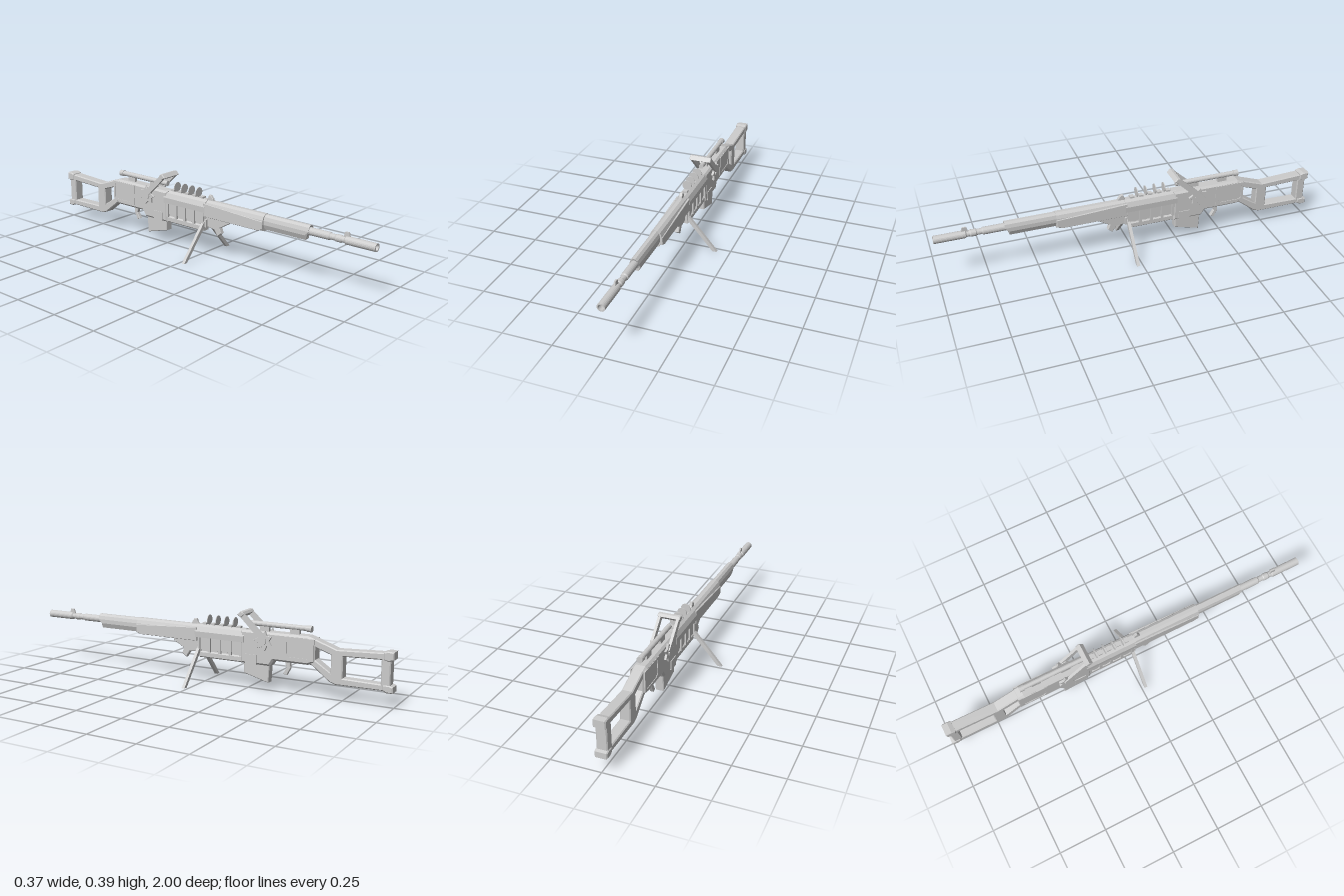
import * as THREE from 'three';

export function createModel() {
  const root = new THREE.Group();
  const mat = new THREE.MeshStandardMaterial({ color: 0xcccccc, flatShading: true });
  const smooth = new THREE.MeshStandardMaterial({ color: 0xcccccc });

  const add = (name, geo, x = 0, y = 0, z = 0, m = mat) => {
    const mesh = new THREE.Mesh(geo, m);
    mesh.name = name;
    mesh.position.set(x, y, z);
    root.add(mesh);
    return mesh;
  };
  const box = (name, w, h, d, x, y, z) => add(name, new THREE.BoxGeometry(w, h, d), x, y, z);
  const vecs = (pts) => pts.map(([a, b]) => new THREE.Vector2(a, b));

  // Side profile given as [z, y], extruded across x with bevelled edges
  const slab = (name, pts, half, bevel = 0, x = 0, holes = []) => {
    const shape = new THREE.Shape(vecs(pts));
    holes.forEach((h) => shape.holes.push(new THREE.Path(vecs(h))));
    const depth = 2 * (half - bevel);
    const geo = new THREE.ExtrudeGeometry(shape, {
      depth, bevelEnabled: bevel > 0, bevelSize: bevel, bevelThickness: bevel,
      bevelOffset: -bevel, bevelSegments: 1, curveSegments: 6,
    });
    geo.translate(0, 0, -depth / 2).rotateY(-Math.PI / 2);
    return add(name, geo, x);
  };

  // Cross-section given as [x, y], extruded along z from z0 to z1
  const section = (name, pts, z0, z1) => {
    const geo = new THREE.ExtrudeGeometry(new THREE.Shape(vecs(pts)), { depth: z1 - z0, bevelEnabled: false });
    return add(name, geo, 0, 0, z0);
  };

  // Barrel with a hollow muzzle, profile as [radius, z]
  const barrel = new THREE.LatheGeometry(vecs([
    [0.016, 0.3], [0.019, 0.64], [0.019, 0.76], [0.015, 0.765], [0.015, 0.79], [0.018, 0.795],
    [0.018, 0.82], [0.015, 0.825], [0.015, 0.84], [0.02, 0.845], [0.02, 1], [0.014, 1], [0.014, 0.93], [0, 0.93],
  ]), 20);
  barrel.rotateX(Math.PI / 2);
  add('barrel', barrel, 0, 0.266, 0);
  slab('frontSight', [[0.865, 0.28], [0.83, 0.28], [0.838, 0.305], [0.858, 0.305]], 0.004);

  // Handguard: rounded top, chamfered underside, wider step behind
  const guard = (w, top, bottom) => [
    [-w * 0.55, bottom], [w * 0.55, bottom], [w, bottom + 0.025], [w, top - 0.028],
    [w * 0.75, top - 0.01], [w * 0.3, top], [-w * 0.3, top], [-w * 0.75, top - 0.01],
    [-w, top - 0.028], [-w, bottom + 0.025],
  ];
  const front = section('frontHandguard', guard(0.023, 0.296, 0.222), 0.38, 0.655);
  // Slope the lower half of the front end backwards
  const fp = front.geometry.attributes.position;
  for (let i = 0; i < fp.count; i++) {
    if (fp.getZ(i) > 0.2 && fp.getY(i) < 0.25) fp.setZ(i, 0.255);
  }
  front.geometry.computeVertexNormals();
  section('rearHandguard', guard(0.03, 0.298, 0.213), 0.03, 0.4);
  for (const s of [-1, 1]) {
    slab('handguardPanel', [[0.4, 0.225], [0.4, 0.265], [0.16, 0.278], [0.03, 0.285], [0.03, 0.215], [0.37, 0.215]],
      0.005, 0.002, s * 0.03);
  }

  // Central body: upper cover, recessed core, vertical ribs and lower rail
  section('upperCover', [[-0.035, 0.235], [0.035, 0.235], [0.037, 0.265], [0.026, 0.29], [0.012, 0.3],
    [-0.012, 0.3], [-0.026, 0.29], [-0.037, 0.265]], -0.24, 0.04);
  box('bodyCore', 0.034, 0.09, 0.26, 0, 0.2, -0.1);
  const scallop = new THREE.Shape();
  scallop.moveTo(0.03, 0.24);
  scallop.lineTo(0.03, 0.19);
  for (let i = 0; i < 4; i++) {
    const z = 0.02 - i * 0.06;
    scallop.lineTo(z, 0.185);
    scallop.quadraticCurveTo(z - 0.03, 0.145, z - 0.06, 0.185);
  }
  scallop.lineTo(-0.23, 0.24);
  for (const s of [-1, 1]) {
    const geo = new THREE.ExtrudeGeometry(scallop, { depth: 0.006, bevelEnabled: false, curveSegments: 6 });
    geo.rotateY(-Math.PI / 2);
    add('scallopedPlate', geo, s * 0.021 + 0.003);
    for (let i = 0; i < 5; i++) box('sideRib', 0.012, 0.085, 0.014, s * 0.026, 0.203, 0.02 - i * 0.06);
  }
  slab('lowerRail', [[0.02, 0.163], [0.02, 0.13], [-0.235, 0.13], [-0.235, 0.163]], 0.026, 0.006);

  // Receiver with raised side panels
  slab('receiver', [[-0.22, 0.298], [-0.22, 0.13], [-0.38, 0.13], [-0.4, 0.16], [-0.58, 0.16],
    [-0.615, 0.175], [-0.615, 0.288], [-0.58, 0.3]], 0.034, 0.01);
  for (const s of [-1, 1]) {
    slab('sidePanelFrame', [[-0.455, 0.288], [-0.455, 0.18], [-0.612, 0.18], [-0.612, 0.288]], 0.003, 0, s * 0.034,
      [[[-0.47, 0.278], [-0.595, 0.278], [-0.6, 0.268], [-0.6, 0.2], [-0.59, 0.19], [-0.485, 0.19], [-0.47, 0.205]]]);
    box('magazineCatch', 0.008, 0.05, 0.06, s * 0.034, 0.155, -0.28);
  }
  slab('magazine', [[-0.235, 0.15], [-0.235, 0.078], [-0.37, 0.042], [-0.376, 0.15]], 0.022, 0.004);
  slab('trigger', [[-0.45, 0.165], [-0.462, 0.13], [-0.443, 0.098], [-0.462, 0.09], [-0.482, 0.128], [-0.478, 0.165]],
    0.01, 0.002);

  // Skeleton stock: one frame with two openings, plus end caps
  slab('stock', [
    [-0.59, 0.293], [-0.61, 0.29], [-0.725, 0.25], [-0.97, 0.262], [-0.985, 0.262], [-0.985, 0.082],
    [-0.72, 0.08], [-0.69, 0.09], [-0.6, 0.16], [-0.59, 0.162],
  ], 0.027, 0.005, 0, [
    [[-0.615, 0.25], [-0.695, 0.222], [-0.695, 0.135], [-0.615, 0.188]],
    [[-0.755, 0.22], [-0.94, 0.227], [-0.94, 0.112], [-0.755, 0.115]],
  ]);
  slab('upperButtCap', [[-0.95, 0.264], [-0.97, 0.27], [-1, 0.268], [-1, 0.23], [-0.975, 0.222], [-0.95, 0.228]], 0.031, 0.005);
  slab('lowerButtCap', [[-0.95, 0.11], [-0.98, 0.112], [-1, 0.105], [-1, 0.075], [-0.97, 0.074], [-0.95, 0.084]], 0.031, 0.005);

  // Cooling discs and small saddles along the top
  for (let i = 0; i < 5; i++) {
    box('topSaddle', 0.024, 0.014, 0.022, 0, 0.302, -0.002 - i * 0.049);
    if (i < 4) {
      const disc = new THREE.CylinderGeometry(0.025, 0.025, 0.004, 24);
      disc.rotateX(Math.PI / 2);
      add('topDisc', disc, 0, 0.326, -0.027 - i * 0.049);
    }
  }
  slab('rearSight', [[0.075, 0.295], [0.07, 0.31], [0.058, 0.325], [0.045, 0.325], [0.04, 0.31], [0.03, 0.295]], 0.008, 0.002);

  // Top rod on its mounts
  const rod = new THREE.CylinderGeometry(0.013, 0.013, 0.34, 16);
  rod.rotateX(Math.PI / 2);
  add('topRod', rod, 0, 0.332, -0.41);
  const collar = new THREE.CylinderGeometry(0.016, 0.016, 0.025, 16);
  collar.rotateX(Math.PI / 2);
  add('rodCollar', collar, 0, 0.331, -0.575);
  for (const z of [-0.34, -0.5]) box('rodMount', 0.016, 0.034, 0.05, 0, 0.308, z);

  // Folding carry handle: crossbar, two slanted arms and star knobs
  slab('handleCrossbar', [[-0.212, 0.376], [-0.23, 0.394], [-0.243, 0.392], [-0.252, 0.38], [-0.234, 0.363]], 0.058, 0.003);
  const star = Array.from({ length: 14 }, (_, i) => {
    const a = (i * Math.PI) / 7, r = i % 2 ? 0.032 : 0.05;
    return [-0.35 + r * Math.cos(a), 0.258 + r * Math.sin(a)];
  });
  for (const s of [-1, 1]) {
    slab('handleArm', [[-0.222, 0.372], [-0.242, 0.388], [-0.37, 0.272], [-0.35, 0.248]], 0.007, 0, s * 0.047);
    slab('pivotStar', star, 0.006, 0.001, s * 0.042);
    const knob = new THREE.CylinderGeometry(0.018, 0.018, 0.02, 12);
    knob.rotateZ(Math.PI / 2);
    add('pivotKnob', knob, s * 0.044, 0.255, -0.35, smooth);
  }

  // Bracket under the handguard and the two splayed legs
  slab('bipodBracket', [[0.18, 0.222], [0.18, 0.2], [0.12, 0.165], [0.13, 0.138], [0.105, 0.118], [0.085, 0.15],
    [0.02, 0.16], [0.01, 0.222]], 0.013, 0.003);
  box('bipodHub', 0.046, 0.04, 0.03, 0, 0.175, 0.025);
  for (const s of [-1, 1]) {
    const pts = [[0.016, 0.19], [0.016, 0.165], [0.16, 0], [0.183, 0], [0.024, 0.186]].map(([x, y]) => [s * x, y]);
    section('bipodLeg', pts, 0.015, 0.031);
  }
  return root;
}
